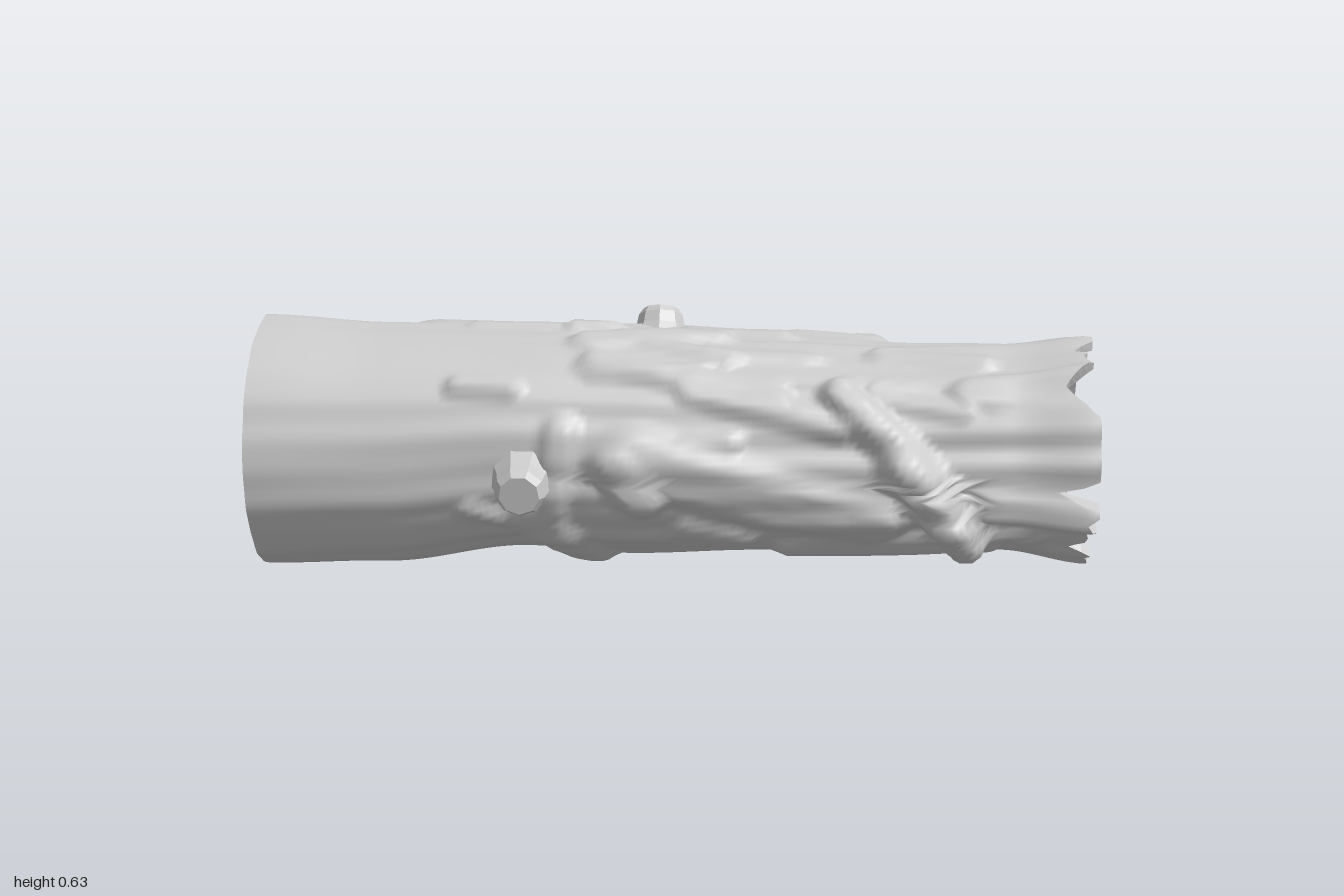
import * as THREE from 'three';

const COLS = 112, ROWS = 130;

// cross-section stations along the log: x, bottom, top, back, front
const STATIONS = [
  [-1, 0.005, 0.62, -0.325, 0.272], [-0.7, 0.02, 0.605, -0.3, 0.268],
  [-0.35, 0.07, 0.6, -0.295, 0.265], [-0.1, 0.055, 0.595, -0.295, 0.265],
  [0.2, 0.065, 0.58, -0.288, 0.262], [0.55, 0.075, 0.568, -0.285, 0.262],
  [0.8, 0.08, 0.572, -0.288, 0.27], [1, 0.055, 0.595, -0.3, 0.295],
];

// raised bark: x0, angle0, x1, angle1, width, height (angle 0 = front, PI/2 = top)
const RIDGES = [
  [-0.08, 0.1, 0.48, -0.5, 0.11, 0.028], [-0.12, 0.05, -0.06, -0.2, 0.08, 0.04],
  [0.4, 0.75, 0.55, 0.2, 0.06, 0.04], [0.55, 0.15, 0.7, -0.65, 0.07, 0.07],
  [-0.5, 0.72, -0.37, 0.7, 0.035, 0.018], [-0.25, 0.35, -0.28, -0.4, 0.05, 0.02],
  [0.75, -0.3, 0.98, -0.32, 0.06, 0.025], [0.7, 0.8, 0.98, 0.95, 0.06, 0.018],
  [-0.18, 1.0, 0.25, 0.7, 0.05, 0.02], [0.05, 0.75, 0.4, 0.45, 0.05, 0.02],
  [-0.55, 2.05, 0.42, 2.15, 0.13, 0.014], [-0.2, 1.3, 0.1, 1.55, 0.06, 0.018],
  [-0.16, 2.5, -0.1, 3.25, 0.08, 0.055], [-0.1, 3.2, 0.15, 3.7, 0.07, 0.03],
  [0.2, 2.3, 0.48, 2.1, 0.06, 0.022], [-0.4, 2.7, -0.15, 3.0, 0.05, 0.02],
  [0.1, 2.9, 0.6, 3.1, 0.06, 0.02], [-0.32, -0.5, -0.2, -1.3, 0.08, 0.02],
  [-0.2, -1.3, -0.28, -2.4, 0.08, 0.022], [0.3, -0.9, 0.75, -0.8, 0.06, 0.018],
];

function seeded(seed) {
  return () => {
    seed = (seed * 16807) % 2147483647;
    return seed / 2147483647;
  };
}
const rand = seeded(4711);
// small slivers of bark, mostly running along the log
for (let i = 0; i < 34; i++) {
  const x = -0.55 + rand() * 1.3, a = -0.9 + rand() * 5;
  RIDGES.push([x, a, x + 0.1 + rand() * 0.15, a - 0.25 + rand() * 0.35, 0.03 + rand() * 0.02, 0.008 + rand() * 0.01]);
}
// notches in the broken end: angle, half width, depth
const NOTCHES = [[0.85, 0.3, 0.08], [-0.12, 0.1, 0.1]];
for (let i = 0; i < 18; i++) NOTCHES.push([rand() * 6.28, 0.06 + rand() * 0.1, 0.02 + rand() * 0.06]);

const { smoothstep, clamp } = THREE.MathUtils;
const wrap = (a) => Math.atan2(Math.sin(a), Math.cos(a));

function section(x) {
  let i = 0;
  while (i < STATIONS.length - 2 && x > STATIONS[i + 1][0]) i++;
  const p = STATIONS[i], q = STATIONS[i + 1];
  const t = smoothstep(x, p[0], q[0]);
  const [, b, top, back, front] = p.map((v, k) => v + (q[k] - v) * t);
  return { cy: (b + top) / 2, ry: (top - b) / 2, cz: (back + front) / 2, rz: (front - back) / 2 };
}

function barkHeight(x, a) {
  let raised = 0;
  for (const [x0, a0, x1, a1, w, h] of RIDGES) {
    // distance to the ridge line, unrolled onto a plane
    const dx = x1 - x0, ds = (a1 - a0) * 0.3;
    const px = x - x0, ps = wrap(a - a0) * 0.3;
    const t = clamp((px * dx + ps * ds) / (dx * dx + ds * ds), 0, 1);
    const d = Math.hypot(px - dx * t, ps - ds * t);
    if (d < w) raised = Math.max(raised, h * smoothstep(1 - d / w, 0, 0.6)) + 0.15 * h * (1 - d / w);
  }
  const rough = smoothstep(x, -1.2, 1);
  const grain = Math.sin(a * 13 + Math.sin(x * 3) * 1.5) + 0.7 * Math.sin(a * 23 - x * 2) + 0.6 * Math.sin(a * 7 + x * 4);
  return raised + grain * (0.0015 + 0.0035 * rough);
}

function point(x, a, scale, bump) {
  const s = section(x);
  return [x, s.cy + Math.sin(a) * (s.ry * scale + bump), s.cz + Math.cos(a) * (s.rz * scale + bump)];
}

function endX(a) {
  let cut = 0;
  for (const [at, w, depth] of NOTCHES) cut = Math.max(cut, depth * (1 - Math.abs(wrap(a - at)) / w));
  return 1 - cut;
}

// closed tube from rings of points
function rings(count, f) {
  const pos = [], index = [];
  for (let i = 0; i < count; i++)
    for (let j = 0; j < COLS; j++) pos.push(...f(i, (j / COLS) * Math.PI * 2));
  for (let i = 0; i < count - 1; i++)
    for (let j = 0; j < COLS; j++) {
      const k = (j + 1) % COLS;
      const a = i * COLS + j, b = a + COLS, c = (i + 1) * COLS + k, d = i * COLS + k;
      index.push(a, b, c, a, c, d);
    }
  const g = new THREE.BufferGeometry();
  g.setAttribute('position', new THREE.Float32BufferAttribute(pos, 3));
  g.setIndex(index);
  g.computeVertexNormals();
  return g;
}

function faceted(g) {
  const flat = g.toNonIndexed();
  flat.computeVertexNormals();
  return flat;
}

export function createModel() {
  const log = new THREE.Group();
  log.name = 'hollowLog';
  const wood = new THREE.MeshStandardMaterial({ color: 0xcccccc });
  const add = (name, geometry) => {
    const mesh = new THREE.Mesh(geometry, wood);
    mesh.name = name;
    log.add(mesh);
    return mesh;
  };

  // outer bark, its right end stretched to the broken edge
  const barkPoint = (t, a) => {
    const x = -1 + t * (endX(a) + 1);
    return point(x, a, 1, barkHeight(x, a));
  };
  add('bark', rings(ROWS + 1, (i, a) => barkPoint(i / ROWS, a)));

  // hollows: distance in from the rim, scale of the section
  const right = [[0, 1], [0, 0.93], [0.15, 0.91], [0.35, 0.86], [0.55, 0.78], [0.75, 0.67], [0.9, 0.54], [0.95, 0.3], [0.97, 0.001]];
  add('brokenEndHollow', faceted(rings(right.length, (i, a) => {
    if (i === 0) return barkPoint(1, a);
    const [depth, scale] = right[i];
    return point(1 - depth - (1 - endX(a)) * Math.max(0, 1 - depth / 0.35), a, scale, 0);
  })));

  const left = [[0, 1], [0.005, 0.96], [0.25, 0.92], [0.5, 0.84], [0.75, 0.7], [0.88, 0.5], [0.93, 0.28], [0.95, 0.001]];
  add('sawnEndHollow', faceted(rings(left.length, (i, a) => {
    const k = left.length - 1 - i;
    return k === 0 ? barkPoint(0, a) : point(-1 + left[k][0], a, left[k][1], 0);
  })));

  // stubs of broken branches, standing out from the bark
  const stub = (name, x, a, radius, height, dish) => {
    const profile = [[1.45, -0.03], [1.1, height * 0.3], [1, height * 0.75], [0.8, height], [0.5, height - dish], [0, height - dish]]
      .map(([r, y]) => new THREE.Vector2(r * radius, y));
    const mesh = add(name, faceted(new THREE.LatheGeometry(profile, 9)));
    mesh.position.set(...point(x, a, 1, 0));
    mesh.quaternion.setFromUnitVectors(new THREE.Vector3(0, 1, 0), new THREE.Vector3(0, Math.sin(a), Math.cos(a)));
  };
  stub('frontKnot', -0.34, -0.15, 0.06, 0.075, 0);
  stub('topKnot', -0.04, 2.08, 0.055, 0.065, 0.025);
  stub('backKnot', -0.14, 3.0, 0.04, 0.065, 0.01);

  return log;
}
